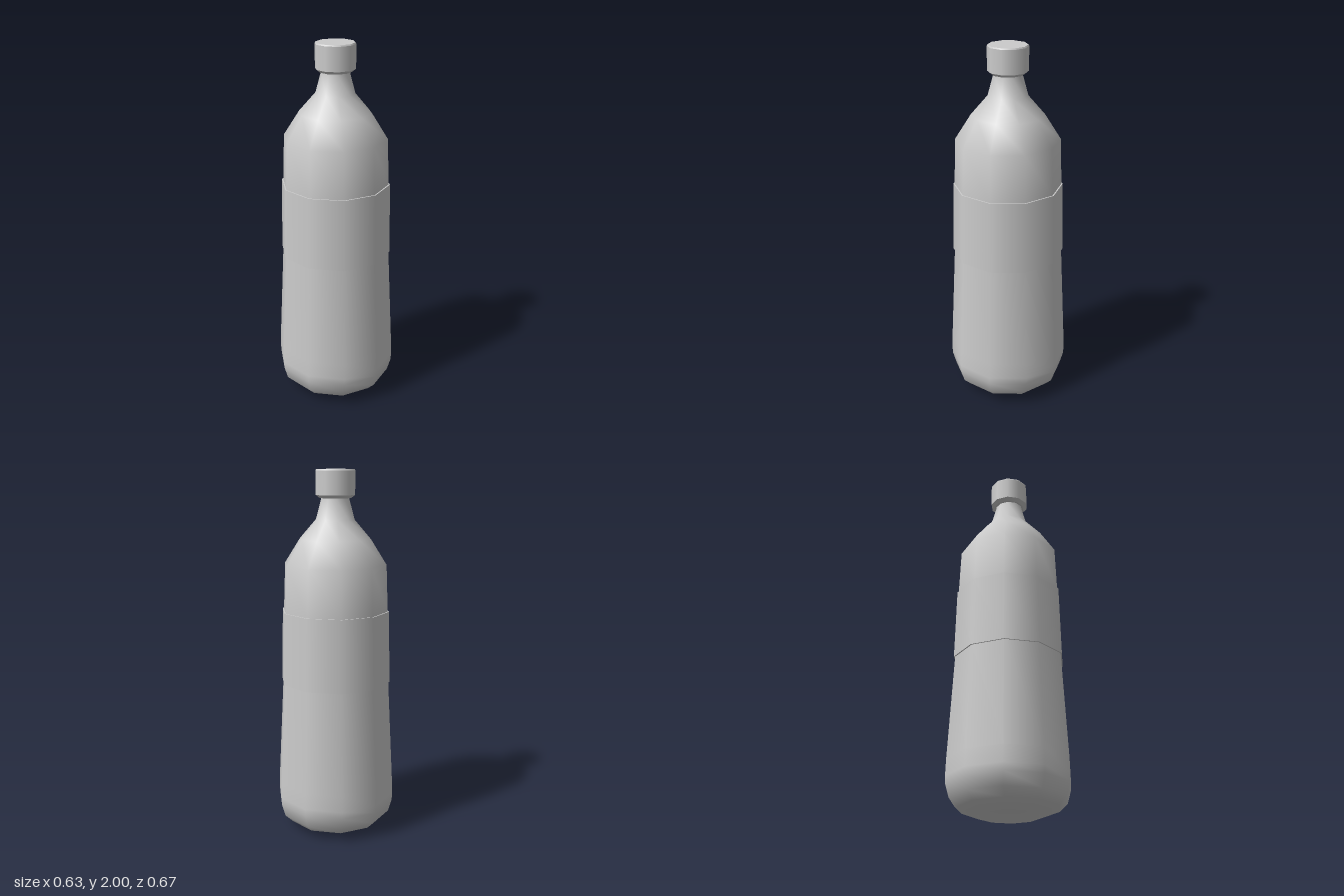
import * as THREE from 'three';

const SIDES = 10;
const material = new THREE.MeshStandardMaterial({ color: 0xcccccc });

// Turns each [radius, y] profile into a smooth ten-sided band; edges between bands stay sharp
function turned(name, ...bands) {
  const part = new THREE.Group();
  part.name = name;
  bands.forEach((band, i) => {
    const points = band.map(([r, y]) => new THREE.Vector2(r, y));
    const mesh = new THREE.Mesh(new THREE.LatheGeometry(points, SIDES), material);
    mesh.name = `${name}Band${i + 1}`;
    part.add(mesh);
  });
  return part;
}

export function createModel() {
  const bottle = new THREE.Group();
  bottle.name = 'bottle';

  // Hollow underside, then the wall from the foot to the neck
  bottle.add(turned('body',
    [[0, 0.05], [0.09, 0.04], [0.168, 0]],
    [[0.168, 0], [0.267, 0.037], [0.311, 0.08], [0.331, 0.15], [0.333, 0.19], [0.33, 0.28],
      [0.3, 0.85], [0.291, 1.245], [0.281, 1.5], [0.195, 1.635], [0.106, 1.737],
      [0.078, 1.84], [0.078, 1.87]]));

  // Wrapped label: lower rim, face, upper rim
  bottle.add(turned('label',
    [[0.298, 0.85], [0.307, 0.85]],
    [[0.307, 0.85], [0.298, 1.245]],
    [[0.298, 1.245], [0.289, 1.245]]));

  // Screw cap: underside, lower bevel, wall, upper bevel, top
  bottle.add(turned('cap',
    [[0, 1.85], [0.087, 1.85]],
    [[0.087, 1.85], [0.108, 1.866]],
    [[0.108, 1.866], [0.108, 1.993]],
    [[0.108, 1.993], [0.104, 2]],
    [[0.104, 2], [0, 2]]));

  return bottle;
}
